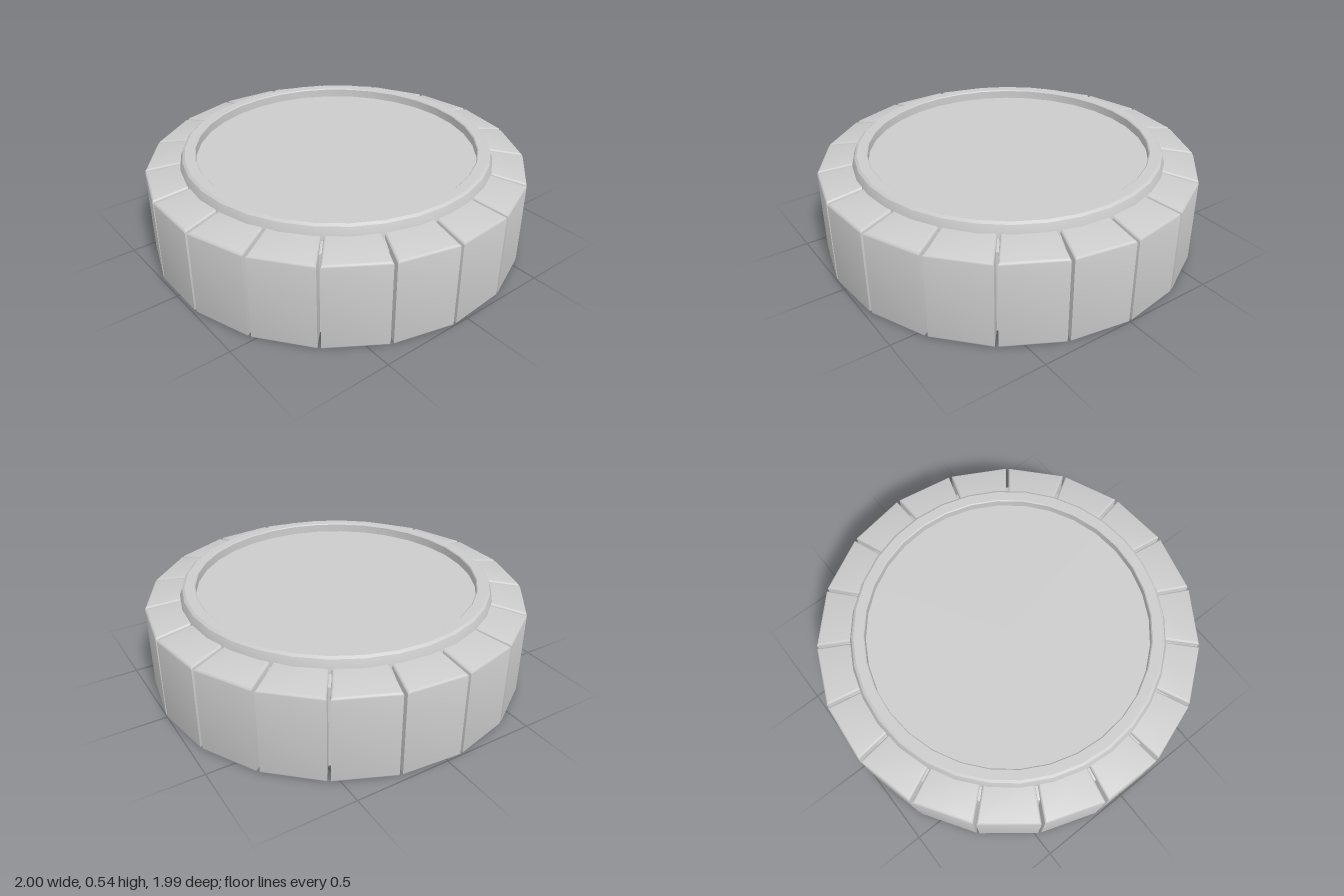
import * as THREE from 'three';
import { toCreasedNormals } from 'three/addons/utils/BufferGeometryUtils.js';

const material = new THREE.MeshStandardMaterial({ color: 0xcccccc });
const SIDES = 32;
const BLOCKS = 19;

function lathe(name, profile) {
  const points = profile.map(([r, y]) => new THREE.Vector2(r, y));
  const geometry = toCreasedNormals(new THREE.LatheGeometry(points, SIDES), 0.5);
  const mesh = new THREE.Mesh(geometry, material);
  mesh.name = name;
  return mesh;
}

// Wedge-shaped grip block with softened edges and a top sloping down outwards
function gripGeometry() {
  const outer = 0.99, inner = 0.76, height = 0.46, bevel = 0.012;
  const shape = new THREE.Shape([
    new THREE.Vector2(-0.157, -outer),
    new THREE.Vector2(0.157, -outer),
    new THREE.Vector2(0.121, -inner),
    new THREE.Vector2(-0.121, -inner),
  ]);
  const geometry = new THREE.ExtrudeGeometry(shape, {
    depth: height - 2 * bevel,
    bevelThickness: bevel,
    bevelSize: bevel,
    bevelOffset: -bevel,
    bevelSegments: 3,
  });
  geometry.translate(0, 0, bevel).rotateX(-Math.PI / 2);
  const p = geometry.attributes.position;
  for (let i = 0; i < p.count; i++) {
    if (p.getY(i) > height / 2) p.setY(i, p.getY(i) + (outer - p.getZ(i)) * 0.17);
  }
  return toCreasedNormals(geometry, 0.7);
}

export function createModel() {
  const model = new THREE.Group();
  model.name = 'knob';

  // Solid body seen through the gaps and from below
  model.add(lathe('core', [[0, 0.003], [0.89, 0.003], [0.89, 0.44], [0.81, 0.47], [0.76, 0.47]]));

  // Raised rim around the recessed face
  model.add(lathe('rim', [
    [0.825, 0.46], [0.822, 0.49], [0.808, 0.53], [0.795, 0.54],
    [0.745, 0.54], [0.74, 0.535], [0.74, 0.488],
  ]));
  model.add(lathe('face', [[0.745, 0.49], [0, 0.49]]));

  // Ring of grip blocks, one centred on the front
  const grips = new THREE.Group();
  grips.name = 'gripBlocks';
  const geometry = gripGeometry();
  for (let i = 0; i < BLOCKS; i++) {
    const block = new THREE.Mesh(geometry, material);
    block.name = 'gripBlock';
    block.rotation.y = (i / BLOCKS) * Math.PI * 2;
    grips.add(block);
  }
  model.add(grips);
  return model;
}
